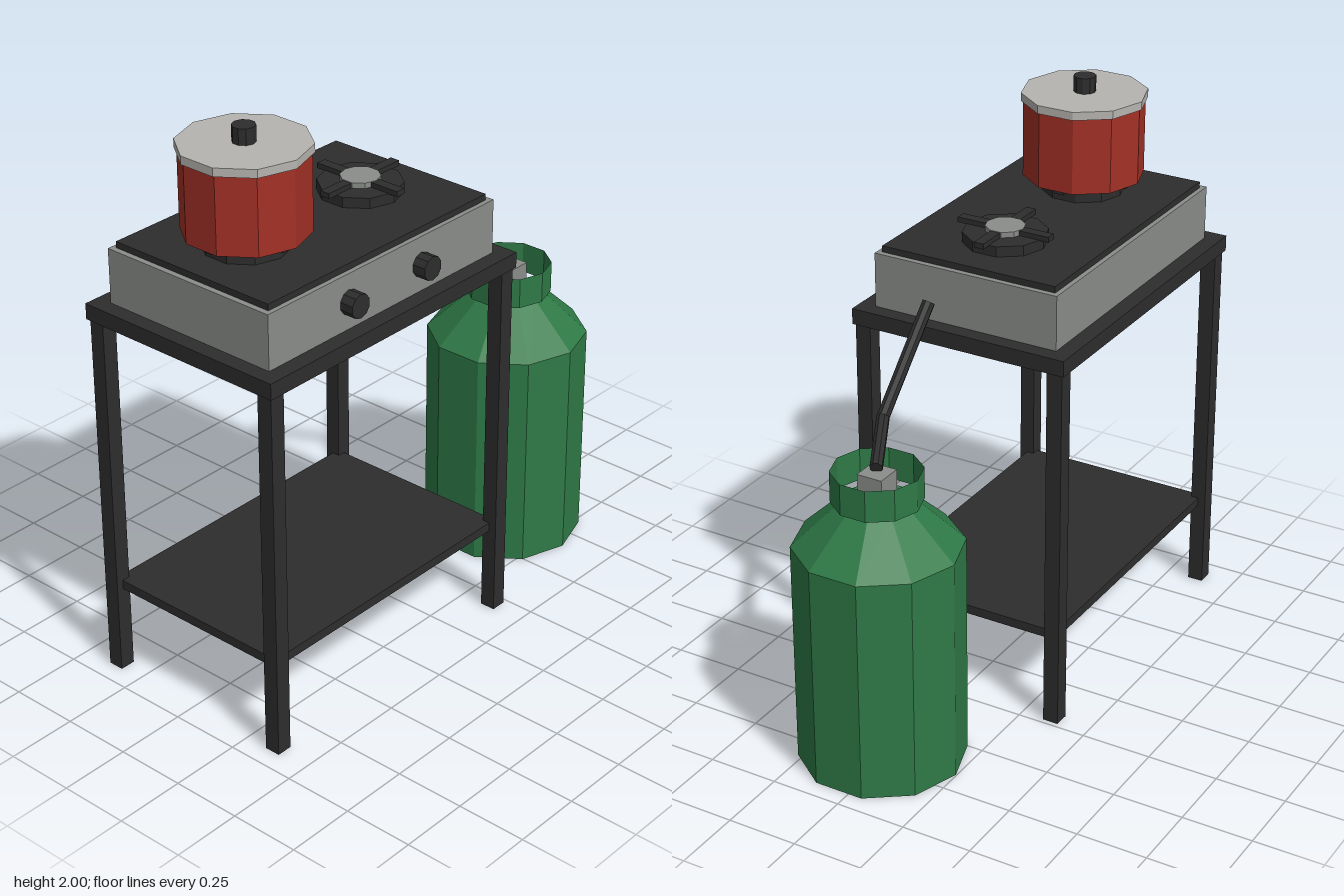
import * as THREE from 'three';

const SIDES = 10;

export function createModel() {
  const model = new THREE.Group();
  model.name = 'campStove';

  const paint = (name, color) => {
    const m = new THREE.MeshStandardMaterial({ color });
    m.name = name;
    m.flatShading = true;
    return m;
  };
  const black = paint('black', 0x2d2d2d);
  const steel = paint('steel', 0x8a8d8a);
  const silver = paint('silver', 0xb6b4b0);
  const red = paint('red', 0xa23026);
  const green = paint('green', 0x2f7a47);
  const greenSheet = paint('greenSheet', 0x2f7a47);
  greenSheet.side = THREE.DoubleSide;

  const add = (name, geometry, material, parent = model) => {
    const mesh = new THREE.Mesh(geometry, material);
    mesh.name = name;
    parent.add(mesh);
    return mesh;
  };
  // Box given by its limits on each axis
  const box = (name, mat, [x0, x1], [y0, y1], [z0, z1], parent) =>
    add(name, new THREE.BoxGeometry(x1 - x0, y1 - y0, z1 - z0), mat, parent)
      .position.set((x0 + x1) / 2, (y0 + y1) / 2, (z0 + z1) / 2);
  // Upright ten-sided drum between two heights
  const drum = (name, mat, x, z, y0, y1, r0, r1 = r0, open = false, parent = model) =>
    add(name, new THREE.CylinderGeometry(r1, r0, y1 - y0, SIDES, 1, open), mat, parent)
      .position.set(x, (y0 + y1) / 2, z);

  // Table
  const table = new THREE.Group();
  table.name = 'table';
  model.add(table);
  box('tableTop', black, [-0.94, 0.24], [1.322, 1.378], [-0.4, 0.4], table);
  box('shelf', black, [-0.905, 0.205], [0.312, 0.345], [-0.362, 0.362], table);
  for (const x of [-0.903, 0.205])
    for (const z of [-0.363, 0.363])
      box('leg', black, [x - 0.028, x + 0.028], [0, 1.33], [z - 0.028, z + 0.028], table);

  // Stove body with dark hob plate
  box('stoveBody', steel, [-0.885, 0.185], [1.378, 1.57], [-0.342, 0.342]);
  box('hobPlate', black, [-0.865, 0.165], [1.568, 1.592], [-0.325, 0.325]);

  // Control knobs
  for (const x of [-0.522, -0.178]) {
    const knob = add('controlKnob', new THREE.CylinderGeometry(0.042, 0.042, 0.055, SIDES), black);
    knob.rotation.x = Math.PI / 2;
    knob.position.set(x, 1.473, 0.364);
  }

  // Burners with crossed pan supports
  for (const x of [-0.615, -0.08]) {
    const burner = new THREE.Group();
    burner.name = 'burner';
    burner.position.x = x;
    model.add(burner);
    drum('burnerRing', black, 0, 0, 1.59, 1.628, 0.144, 0.144, false, burner);
    drum('burnerCap', steel, 0, 0, 1.62, 1.647, 0.068, 0.068, false, burner);
    box('panSupport', black, [-0.172, 0.172], [1.626, 1.645], [-0.018, 0.018], burner);
    box('panSupport', black, [-0.018, 0.018], [1.626, 1.645], [-0.172, 0.172], burner);
  }

  // Cooking pot
  drum('pot', red, -0.615, 0, 1.648, 1.918, 0.21);
  drum('potLid', silver, -0.615, 0, 1.916, 1.945, 0.218);
  drum('lidKnob', black, -0.615, 0, 1.945, 2, 0.039);

  // Gas cylinder, with an open collar around the valve
  const gx = 0.665, gz = 0.038;
  drum('tankBody', green, gx, gz, 0, 0.802, 0.285);
  drum('tankShoulder', green, gx, gz, 0.802, 0.96, 0.285, 0.118);
  drum('tankCollar', greenSheet, gx, gz, 0.958, 1.07, 0.152, 0.152, true);
  box('valve', steel, [gx - 0.046, gx + 0.046], [0.96, 1.06], [gz - 0.046, gz + 0.046]);

  // Hose: straight runs joined at a bend
  const path = [[0.665, 1.074, 0.04], [0.477, 1.15, 0.132], [0.248, 1.475, 0.096]]
    .map(p => new THREE.Vector3(...p));
  const up = new THREE.Vector3(0, 1, 0);
  for (let i = 0; i < 2; i++) {
    const dir = path[i + 1].clone().sub(path[i]);
    const run = add('hose', new THREE.CylinderGeometry(0.022, 0.022, dir.length(), 8), black);
    run.position.copy(path[i]).addScaledVector(dir, 0.5);
    run.quaternion.setFromUnitVectors(up, dir.normalize());
  }
  add('hoseBend', new THREE.SphereGeometry(0.022, 8, 6), black).position.copy(path[1]);

  return model;
}
